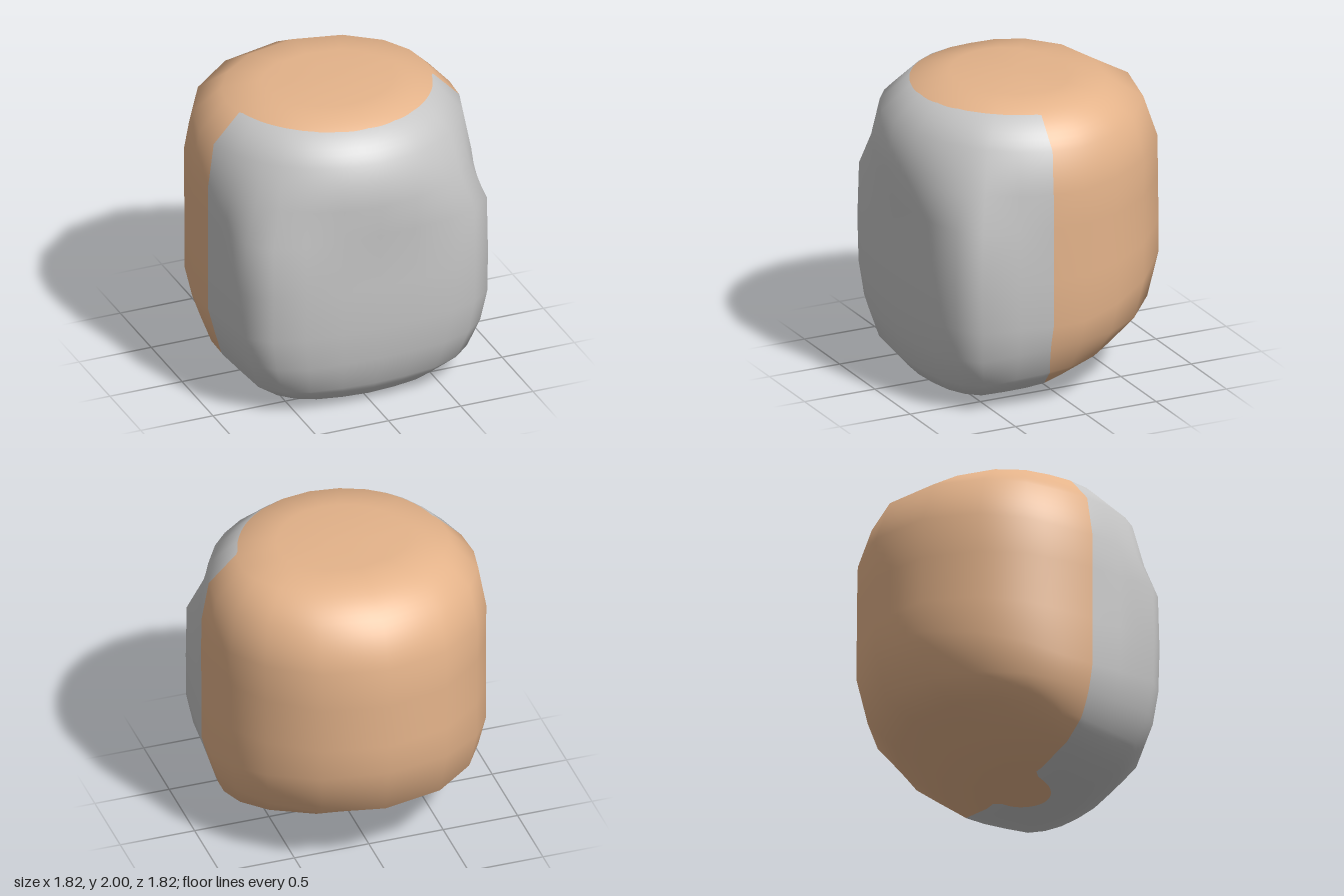
import * as THREE from 'three';

// Half outline seen from above at mid height, back to front (flat face, round back)
const PLAN = [[0, -0.91], [0.42, -0.81], [0.71, -0.56], [0.86, -0.3], [0.91, -0.04], [0.9, 0.17],
  [0.87, 0.4], [0.84, 0.66], [0.7, 0.78], [0.5, 0.85], [0.25, 0.87], [0, 0.88]];

// Rows top to bottom: side x, y | back z, y | front z, y | squareness of the face
const ROWS = [
  [0, 2.0, 0, 2.0, 0, 2.0, 0],
  [0.43, 2.0, -0.32, 2.0, 0.42, 2.0, 0],
  [0.69, 1.945, -0.55, 1.99, 0.67, 1.957, 0],
  [0.865, 1.755, -0.8, 1.85, 0.865, 1.79, 0],
  [0.91, 1.48, -0.9, 1.58, 0.91, 1.5, 0.2],
  [0.908, 1.25, -0.905, 1.3, 0.87, 1.27, 0.95],
  [0.905, 0.9, -0.908, 1.0, 0.875, 0.9, 1],
  [0.905, 0.58, -0.91, 0.8, 0.865, 0.6, 1],
  [0.86, 0.43, -0.83, 0.48, 0.84, 0.37, 1],
  [0.8, 0.25, -0.62, 0.35, 0.79, 0.17, 0.85],
  [0.65, 0.11, -0.3, 0.17, 0.69, 0.05, 0.6],
  [0.38, 0.04, -0.05, 0.1, 0.52, 0, 0.2],
  [0, 0.03, 0.25, 0.03, 0.25, 0.03, 0],
];

const { lerp, clamp } = THREE.MathUtils;
const loop = [...PLAN, ...PLAN.slice(1, -1).reverse().map(([x, z]) => [-x, z])];
const COLS = loop.length;

// Control cage point for one row and one column
function cagePoint([sx, sy, bz, by, fz, fy, square], [px, pz]) {
  const len = Math.hypot(px, pz);
  const u = lerp(px / len, px / 0.91, square);
  const t = lerp(pz / len, pz / (pz > 0 ? 0.88 : 0.91), square);
  const mid = sx === 0 ? bz : Math.max(0, (bz + fz) / 2 - 0.05) * (sy < 0.5 ? 1 : 0);
  const z = t < 0 ? lerp(mid, bz, -t) : lerp(mid, fz, t);
  return [sx * u, lerp(sy, t < 0 ? by : fy, Math.abs(t)), z];
}

// Smooth cage: positions and shared normals
function buildCage() {
  const pos = [], index = [];
  for (const row of ROWS) for (const p of loop) pos.push(...cagePoint(row, p));
  for (let i = 0; i < ROWS.length - 1; i++) for (let j = 0; j < COLS; j++) {
    const a = i * COLS + j, b = i * COLS + (j + 1) % COLS;
    index.push(a, b, a + COLS, b, b + COLS, a + COLS);
  }
  const g = new THREE.BufferGeometry();
  g.setAttribute('position', new THREE.Float32BufferAttribute(pos, 3));
  g.setIndex(index);
  g.computeVertexNormals();
  const n = g.attributes.normal;
  for (let j = 0; j < COLS; j++) {
    n.setXYZ(j, 0, 1, 0);
    n.setXYZ((ROWS.length - 1) * COLS + j, 0, -0.98, -0.17);
  }
  return (i, j) => {
    const k = i * COLS + j % COLS;
    return [pos[3 * k], pos[3 * k + 1], pos[3 * k + 2], n.getX(k), n.getY(k), n.getZ(k)];
  };
}

const mix = (a, b, t) => a.map((v, k) => lerp(v, b[k], t));

// Positive on the face mask, negative on the skin
function maskField([x, y, z]) {
  const edge = 0.175 - 0.025 * clamp((y - 1.5) / 0.45, 0, 1) - 0.065 * clamp((0.5 - y) / 0.42, 0, 1) ** 2;
  let f = z - edge;
  if (y > 1.6) f = Math.min(f, Math.hypot(x, z) - 0.675);
  if (y < 0.3) f = Math.min(f, Math.hypot(x, z - 0.1) - 0.24);
  return f;
}

// Keep the part of a triangle where sign * field is positive
function clip(tri, sign, out) {
  const poly = [];
  tri.forEach((a, k) => {
    const b = tri[(k + 1) % 3], fa = sign * maskField(a), fb = sign * maskField(b);
    if (fa >= 0) poly.push(a);
    if ((fa >= 0) !== (fb >= 0)) poly.push(mix(a, b, fa / (fa - fb)));
  });
  for (let k = 1; k < poly.length - 1; k++) out.push(poly[0], poly[k], poly[k + 1]);
}

function toGeometry(verts) {
  const g = new THREE.BufferGeometry();
  g.setAttribute('position', new THREE.Float32BufferAttribute(verts.flatMap(v => v.slice(0, 3)), 3));
  g.setAttribute('normal', new THREE.Float32BufferAttribute(verts.flatMap(v => v.slice(3)), 3));
  g.normalizeNormals();
  return g;
}

export function createModel() {
  const skin = new THREE.MeshStandardMaterial({ name: 'tan skin', color: 0xe4b38a });
  const grey = new THREE.MeshStandardMaterial({ name: 'grey face', color: 0xc5c5c5 });
  const cage = buildCage();
  const skinVerts = [], faceVerts = [];
  const N = 6;

  // Subdivide every cage quad and sort its pieces into skin and face
  for (let i = 0; i < ROWS.length - 1; i++) for (let j = 0; j < COLS; j++) {
    const a = cage(i, j), b = cage(i, j + 1), c = cage(i + 1, j), d = cage(i + 1, j + 1);
    const at = (u, v) => mix(mix(a, b, u / N), mix(c, d, u / N), v / N);
    for (let v = 0; v < N; v++) for (let u = 0; u < N; u++) {
      const p = at(u, v), q = at(u + 1, v), r = at(u, v + 1), s = at(u + 1, v + 1);
      for (const tri of [[p, q, r], [q, s, r]]) {
        clip(tri, -1, skinVerts);
        clip(tri, 1, faceVerts);
      }
    }
  }

  const group = new THREE.Group();
  group.name = 'head';
  const back = new THREE.Mesh(toGeometry(skinVerts), skin);
  back.name = 'scalp';
  const front = new THREE.Mesh(toGeometry(faceVerts), grey);
  front.name = 'face';
  group.add(back, front);
  return group;
}
